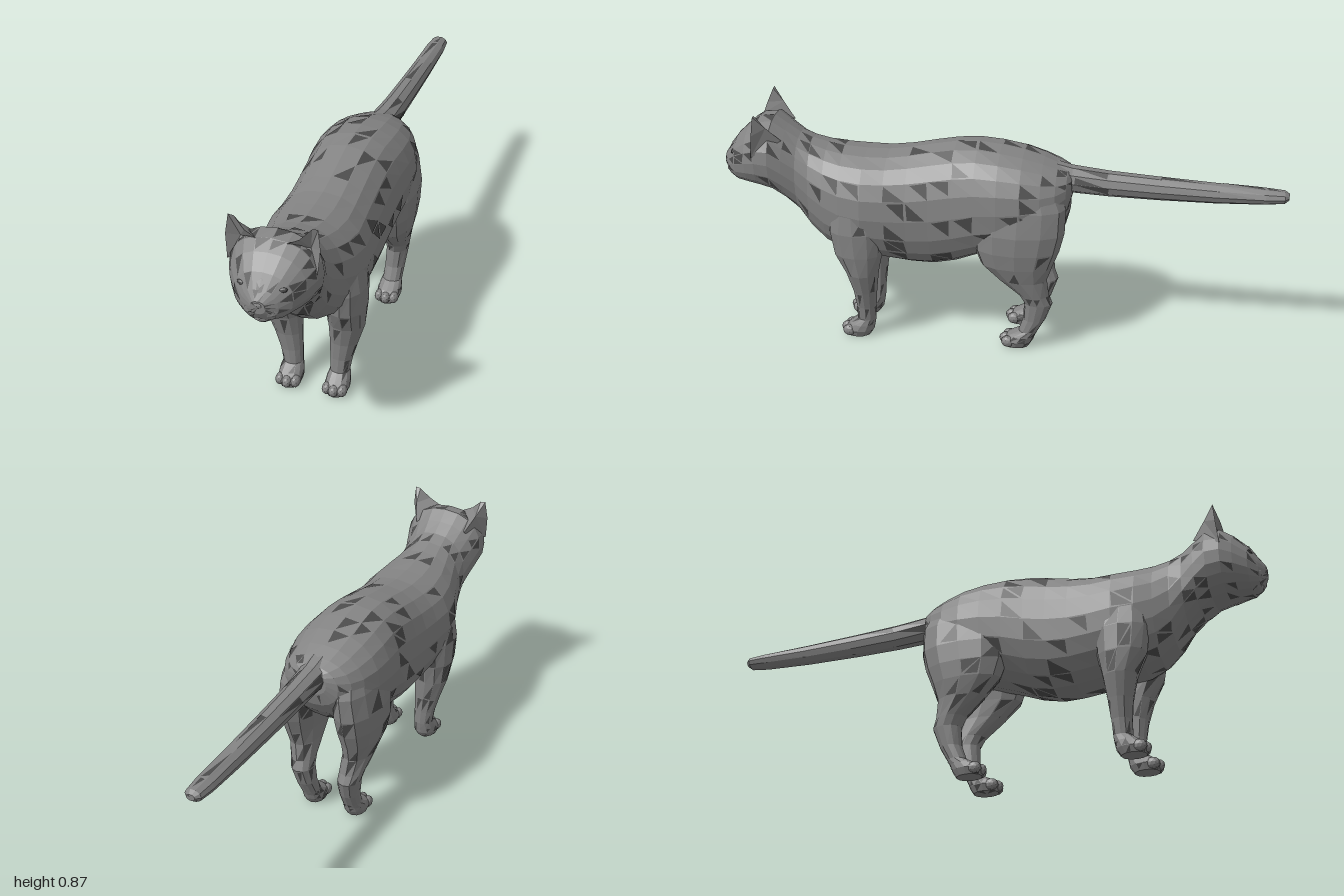
import * as THREE from 'three';

const COAT = 0x848484;
const coat = new THREE.MeshStandardMaterial({ color: COAT, flatShading: true });
const thin = new THREE.MeshStandardMaterial({ color: COAT, flatShading: true, side: THREE.DoubleSide });
const dark = new THREE.MeshStandardMaterial({ color: 0x4c4c4c, flatShading: true });

// Closed skin over rounded sections [w, u0, u1, v0, v1], listed from high w to low w
function loft(sections, sides, power = 2) {
  const pos = [], idx = [];
  const bend = t => Math.sign(t) * Math.abs(t) ** (2 / power);
  for (const [w, u0, u1, v0, v1] of sections) {
    for (let j = 0; j < sides; j++) {
      const a = (j / sides) * Math.PI * 2;
      pos.push((u0 + u1) / 2 + (u1 - u0) / 2 * bend(Math.cos(a)),
        (v0 + v1) / 2 + (v1 - v0) / 2 * bend(Math.sin(a)), w);
    }
  }
  const rows = sections.length;
  for (let i = 0; i < rows - 1; i++) {
    for (let j = 0; j < sides; j++) {
      const a = i * sides + j, b = i * sides + (j + 1) % sides;
      idx.push(a, a + sides, b, b, a + sides, b + sides);
    }
  }
  for (const row of [0, rows - 1]) {
    const [w, u0, u1, v0, v1] = sections[row];
    const c = pos.length / 3;
    pos.push((u0 + u1) / 2, (v0 + v1) / 2, w);
    for (let j = 0; j < sides; j++) {
      const a = row * sides + j, b = row * sides + (j + 1) % sides;
      idx.push(c, ...(row ? [b, a] : [a, b]));
    }
  }
  const g = new THREE.BufferGeometry();
  g.setAttribute('position', new THREE.Float32BufferAttribute(pos, 3));
  g.setIndex(idx);
  g.computeVertexNormals();
  return g;
}

// Scattered three-cornered coat markings lying just above a skin
function markings(skin, chance, seed) {
  const random = () => (seed = (seed * 16807) % 2147483647) / 2147483647;
  const flat = skin.toNonIndexed().getAttribute('position');
  const tri = new THREE.Triangle(), normal = new THREE.Vector3(), mid = new THREE.Vector3();
  const pos = [];
  for (let i = 0; i < flat.count; i += 3) {
    if (random() > chance) continue;
    tri.setFromAttributeAndIndices(flat, i, i + 1, i + 2);
    tri.getNormal(normal);
    tri.getMidpoint(mid);
    for (const corner of [tri.a, tri.b, tri.c]) {
      corner.lerp(mid, 0.3 * random()).addScaledVector(normal, 0.0015);
      pos.push(corner.x, corner.y, corner.z);
    }
  }
  const g = new THREE.BufferGeometry();
  g.setAttribute('position', new THREE.Float32BufferAttribute(pos, 3));
  g.computeVertexNormals();
  return g;
}

// Nose to rump: z, bottom, top, half width
const TRUNK = [
  [0.995, 0.625, 0.67, 0.025], [0.975, 0.59, 0.70, 0.06], [0.945, 0.577, 0.745, 0.097],
  [0.90, 0.572, 0.788, 0.128], [0.86, 0.567, 0.815, 0.146], [0.81, 0.553, 0.822, 0.15],
  [0.765, 0.52, 0.79, 0.139], [0.72, 0.475, 0.76, 0.126], [0.675, 0.405, 0.742, 0.13],
  [0.62, 0.355, 0.727, 0.148], [0.56, 0.33, 0.718, 0.17], [0.48, 0.316, 0.714, 0.183],
  [0.40, 0.306, 0.715, 0.176], [0.32, 0.295, 0.727, 0.171], [0.24, 0.293, 0.745, 0.17],
  [0.16, 0.31, 0.76, 0.171], [0.08, 0.342, 0.765, 0.176], [0, 0.37, 0.757, 0.182],
  [-0.08, 0.395, 0.742, 0.178], [-0.15, 0.43, 0.72, 0.16], [-0.20, 0.48, 0.70, 0.135],
  [-0.235, 0.53, 0.685, 0.098], [-0.25, 0.58, 0.67, 0.06],
];
// Tail: z, bottom, top, half width
const TAIL = [
  [-0.15, 0.59, 0.715, 0.06], [-0.25, 0.592, 0.69, 0.05], [-0.38, 0.585, 0.676, 0.045],
  [-0.55, 0.582, 0.665, 0.042], [-0.75, 0.583, 0.654, 0.039], [-0.92, 0.59, 0.647, 0.037],
  [-0.985, 0.597, 0.642, 0.031], [-1, 0.609, 0.632, 0.016],
];
// Legs: y, front z, back z, inner x, outer x
const FRONT_LEG = [
  [0.58, 0.56, 0.46, 0.09, 0.155], [0.52, 0.595, 0.43, 0.075, 0.177], [0.45, 0.605, 0.41, 0.06, 0.188],
  [0.36, 0.59, 0.415, 0.05, 0.186], [0.28, 0.55, 0.432, 0.048, 0.176], [0.20, 0.53, 0.443, 0.05, 0.15],
  [0.13, 0.522, 0.45, 0.05, 0.13], [0.075, 0.522, 0.453, 0.05, 0.12], [0.052, 0.552, 0.457, 0.044, 0.127],
  [0.028, 0.577, 0.462, 0.04, 0.13], [0.004, 0.567, 0.478, 0.05, 0.12],
];
const HIND_LEG = [
  [0.68, -0.03, -0.15, 0.06, 0.12], [0.64, 0.045, -0.205, 0.045, 0.148], [0.57, 0.085, -0.238, 0.03, 0.173],
  [0.48, 0.09, -0.235, 0.032, 0.187], [0.41, 0.085, -0.218, 0.04, 0.185], [0.35, 0.062, -0.195, 0.05, 0.176],
  [0.29, 0, -0.175, 0.055, 0.16], [0.225, -0.075, -0.182, 0.055, 0.144], [0.19, -0.092, -0.195, 0.054, 0.136],
  [0.12, -0.09, -0.17, 0.052, 0.126], [0.07, -0.073, -0.143, 0.05, 0.122], [0.05, -0.033, -0.133, 0.044, 0.127],
  [0.028, -0.008, -0.125, 0.04, 0.13], [0.004, -0.018, -0.11, 0.05, 0.12],
];

// Ear: a rounded back shell and a dished front, tapering to the tip
function earGeometry(s) {
  const p = {
    tip: [0.146, 0.868, 0.85], tipIn: [0.127, 0.866, 0.85], inner: [0.045, 0.805, 0.865], innerMid: [0.09, 0.829, 0.862],
    outer: [0.148, 0.715, 0.865], outerMid: [0.155, 0.80, 0.857], pit: [0.115, 0.785, 0.83],
    back: [0.10, 0.765, 0.765], backMid: [0.125, 0.82, 0.812],
  };
  const faces = [
    ['tip', 'tipIn', 'pit'], ['tipIn', 'innerMid', 'pit'], ['innerMid', 'inner', 'pit'],
    ['inner', 'outer', 'pit'], ['outer', 'outerMid', 'pit'], ['outerMid', 'tip', 'pit'],
    ['tipIn', 'tip', 'backMid'], ['innerMid', 'tipIn', 'backMid'], ['inner', 'innerMid', 'backMid'],
    ['back', 'inner', 'backMid'], ['outer', 'back', 'backMid'], ['outerMid', 'outer', 'backMid'],
    ['tip', 'outerMid', 'backMid'],
  ];
  const pos = [];
  for (const f of faces) {
    for (const k of s > 0 ? f : [...f].reverse()) pos.push(s * p[k][0], p[k][1], p[k][2]);
  }
  const g = new THREE.BufferGeometry();
  g.setAttribute('position', new THREE.Float32BufferAttribute(pos, 3));
  g.computeVertexNormals();
  return g;
}

export function createModel() {
  const cat = new THREE.Group();
  cat.name = 'cat';
  const add = (name, geometry, mat = coat) => {
    const mesh = new THREE.Mesh(geometry, mat);
    mesh.name = name;
    cat.add(mesh);
    return mesh;
  };
  const addMarked = (name, geometry, chance, seed) => {
    add(name, geometry);
    add(name + 'Markings', markings(geometry, chance, seed), dark);
  };
  const blob = (name, x, y, z, rx, ry, rz, mat = coat) => {
    const mesh = add(name, new THREE.IcosahedronGeometry(1, 1), mat);
    mesh.position.set(x, y, z);
    mesh.scale.set(rx, ry, rz);
    return mesh;
  };
  const alongZ = ([z, bottom, top, half]) => [z, -half, half, bottom, top];

  addMarked('headAndBody', loft(TRUNK.map(alongZ), 20, 2.25), 0.17, 4211);
  addMarked('tail', loft(TAIL.map(alongZ), 10), 0.08, 977);

  // Face
  blob('nose', 0, 0.655, 0.983, 0.022, 0.014, 0.016);
  blob('chin', 0, 0.596, 0.952, 0.035, 0.022, 0.03);
  blob('noseBridge', 0, 0.695, 0.955, 0.028, 0.055, 0.022).rotation.x = -0.55;

  for (const s of [1, -1]) {
    const side = s > 0 ? 'left' : 'right';
    blob(side + 'MuzzlePad', s * 0.028, 0.627, 0.96, 0.036, 0.028, 0.029);
    blob(side + 'Eye', s * 0.062, 0.698, 0.949, 0.021, 0.011, 0.012, dark).rotation.z = s * 0.2;
    add(side + 'Ear', earGeometry(s), thin);

    // Legs with three toes on each paw
    for (const [name, rows, toeZ] of [['FrontLeg', FRONT_LEG, 0.558], ['HindLeg', HIND_LEG, -0.027]]) {
      const sections = rows.map(([y, front, back, inner, outer]) =>
        [y, s > 0 ? inner : -outer, s > 0 ? outer : -inner, -front, -back]);
      addMarked(side + name, loft(sections, 12, 2.1).rotateX(-Math.PI / 2), 0.13, 5003 + s * 91 + rows.length);
      for (const t of [-1, 0, 1]) {
        blob(side + name + 'Toe', s * 0.085 + t * 0.027, 0.027, toeZ - Math.abs(t) * 0.01, 0.018, 0.022, 0.026);
      }
    }
  }
  return cat;
}
